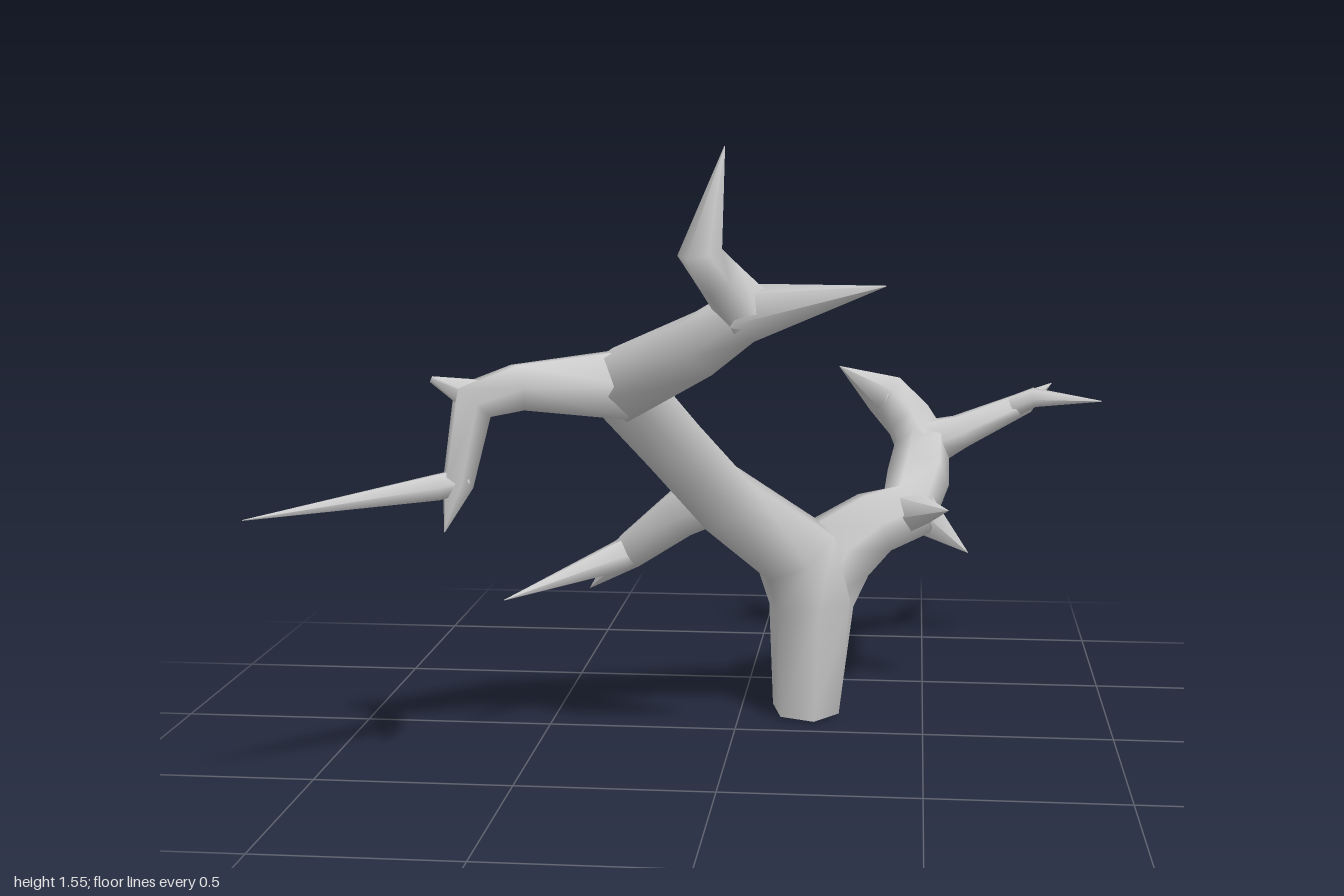
import * as THREE from 'three';

const SIDES = 6;
const material = new THREE.MeshStandardMaterial({ color: 0xcccccc });

// Lofts a tapering six-sided limb through [x, y, z, radius] stations.
function limb(name, stations) {
  const pts = stations.map(s => new THREE.Vector3(s[0], s[1], s[2]));
  const last = pts.length - 1;
  const positions = [], index = [];
  let normal = new THREE.Vector3(0.3, 0.1, 1);
  const dir = i => pts[i + 1].clone().sub(pts[i]).normalize();

  pts.forEach((p, i) => {
    const tangent = new THREE.Vector3();
    if (i > 0) tangent.add(dir(i - 1));
    if (i < last) tangent.add(dir(i));
    tangent.normalize();
    // carry the ring's orientation along the path
    normal = normal.clone().addScaledVector(tangent, -normal.dot(tangent)).normalize();
    const binormal = new THREE.Vector3().crossVectors(tangent, normal);
    const r = Math.max(stations[i][3], 0.001) * 1.05;
    for (let k = 0; k < SIDES; k++) {
      const a = (k / SIDES) * Math.PI * 2;
      const v = p.clone().addScaledVector(normal, r * Math.cos(a)).addScaledVector(binormal, r * Math.sin(a));
      positions.push(v.x, v.y, v.z);
    }
  });
  for (let i = 0; i < last; i++) {
    for (let k = 0; k < SIDES; k++) {
      const a = i * SIDES + k, b = i * SIDES + (k + 1) % SIDES;
      index.push(a, b, b + SIDES, a, b + SIDES, a + SIDES);
    }
  }
  // flat end caps with their own vertices
  for (const ring of [0, last]) {
    const base = positions.length / 3;
    for (let k = 0; k < SIDES * 3; k++) {
      if (k < SIDES) positions.push(...positions.slice((ring * SIDES + k) * 3, (ring * SIDES + k) * 3 + 3));
    }
    for (let k = 1; k < SIDES - 1; k++) {
      if (ring === 0) index.push(base, base + k + 1, base + k);
      else index.push(base, base + k, base + k + 1);
    }
  }
  const geometry = new THREE.BufferGeometry();
  geometry.setAttribute('position', new THREE.Float32BufferAttribute(positions, 3));
  geometry.setIndex(index);
  geometry.computeVertexNormals();
  const mesh = new THREE.Mesh(geometry, material);
  mesh.name = name;
  return mesh;
}

export function createModel() {
  const tree = new THREE.Group();
  tree.name = 'bareTree';

  // shared joints where limbs divide
  const root = [0.18, 0, -0.17, 0.09];
  const upperFork = [-0.24, 0.97, 0.41, 0.09];
  const crownFork = [0.09, 1.17, 0.65, 0.066];
  const drop = [-0.59, 0.76, 0.62, 0.036];
  const sideFork = [-0.28, 0.47, -0.02, 0.05];
  const backElbow = [0.45, 0.53, -0.31, 0.085];
  const backFork = [0.49, 0.67, -0.59, 0.075];
  const backLeft = [0.81, 0.81, -0.62, 0.028];
  const backRight = [0.38, 0.81, -0.65, 0.062];

  const parts = {
    // trunk leaning into the long front limb
    trunk: [root, [0.19, 0.31, -0.14, 0.11], [0.15, 0.45, -0.14, 0.115],
      [-0.03, 0.63, 0.06, 0.092], [-0.15, 0.82, 0.25, 0.088], upperFork, [-0.25, 1.0, 0.44, 0.07]],
    // front limb's right bough and drooping twig
    rightBough: [upperFork, [-0.46, 0.98, 0.55, 0.058], [-0.56, 0.95, 0.585, 0.055], drop, [-0.62, 0.65, 0.64, 0]],
    rightBoughKnuckle: [[-0.53, 0.95, 0.57, 0.055], [-0.65, 1.005, 0.61, 0.008]],
    rightBoughTwig: [[-0.57, 0.77, 0.61, 0.03], [-0.64, 0.755, 0.64, 0.032], [-1.0, 0.73, 0.93, 0]],
    // crown bough and its upright twig
    crownBough: [upperFork, [-0.02, 1.09, 0.56, 0.076], crownFork, [0.4, 1.24, 0.75, 0]],
    crownTwig: [crownFork, [0.03, 1.25, 0.69, 0.052], [-0.01, 1.31, 0.735, 0.048], [0.04, 1.54, 0.68, 0]],
    // small side branch
    sideBranch: [[-0.03, 0.64, 0.05, 0.07], [-0.14, 0.58, 0.0, 0.066], sideFork, [-0.4, 0.35, -0.08, 0]],
    sideTwig: [[-0.25, 0.49, -0.03, 0.04], [-0.31, 0.455, 0.0, 0.042], [-0.56, 0.4, 0.28, 0]],
    // heavy back limb, growing out of the trunk
    backLimb: [root, [0.2, 0.31, -0.2, 0.108], [0.25, 0.43, -0.24, 0.115], [0.36, 0.5, -0.3, 0.092],
      backElbow, [0.48, 0.6, -0.46, 0.085], backFork, [0.49, 0.7, -0.62, 0.05]],
    backStubUpper: [[0.44, 0.53, -0.31, 0.07], [0.56, 0.57, -0.13, 0]],
    backStubLower: [[0.46, 0.54, -0.33, 0.07], [0.62, 0.41, -0.34, 0]],
    // back limb's left bough, split into two points
    backLeftBough: [backFork, [0.6, 0.71, -0.61, 0.05], [0.78, 0.79, -0.64, 0.033], [0.88, 0.81, -0.94, 0]],
    backLeftTwig: [[0.74, 0.775, -0.635, 0.032], backLeft, [1.0, 0.805, -0.59, 0]],
    // back limb's right bough, split into two points
    backRightBough: [backFork, [0.45, 0.74, -0.62, 0.068], backRight, [0.25, 0.9, -0.57, 0]],
    backRightTwig: [[0.41, 0.78, -0.63, 0.055], [0.35, 0.82, -0.69, 0.045], [0.26, 0.85, -0.83, 0]],
  };
  for (const [name, stations] of Object.entries(parts)) tree.add(limb(name, stations));
  return tree;
}
